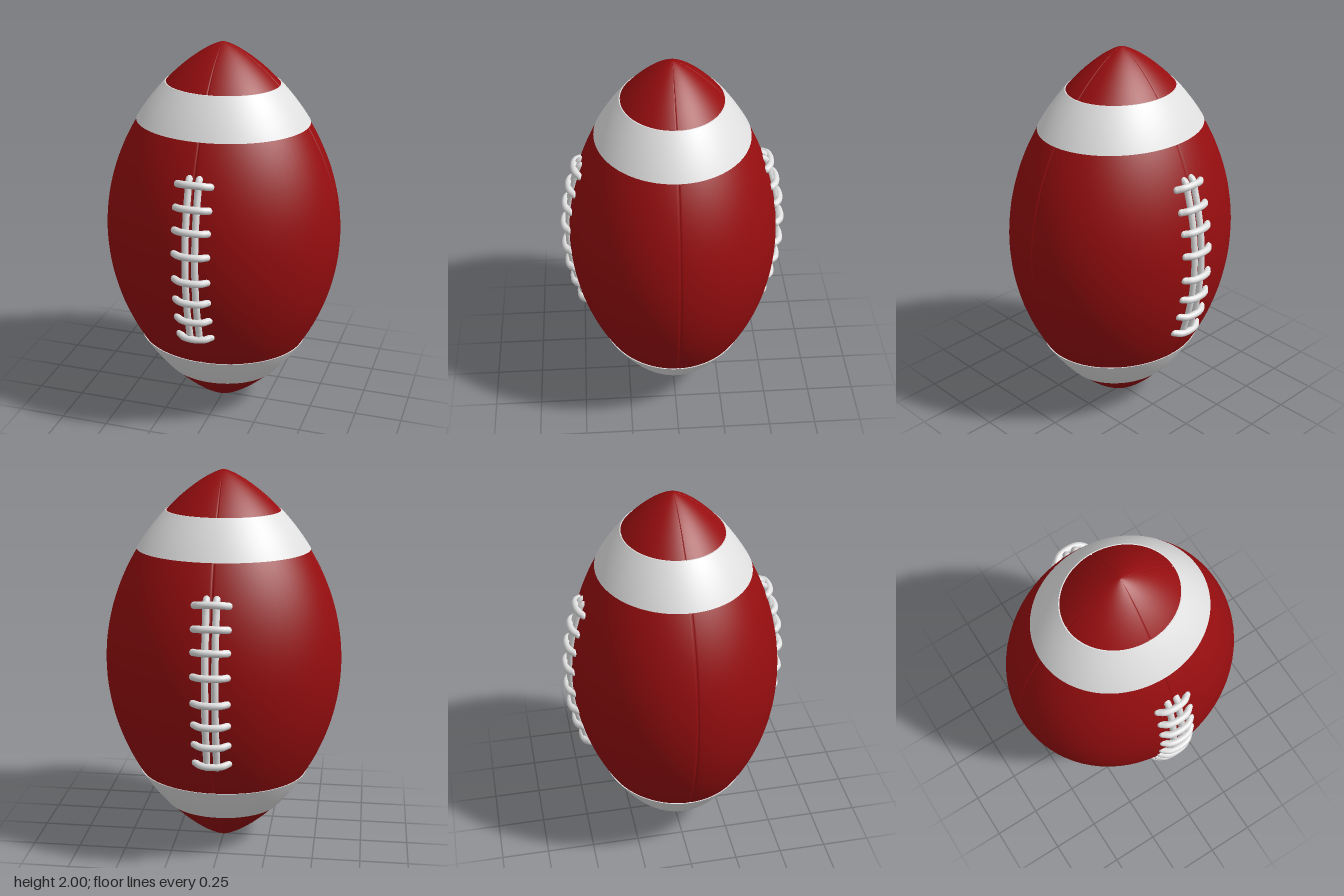
import * as THREE from 'three';
import { mergeVertices, toCreasedNormals } from 'three/addons/utils/BufferGeometryUtils.js';

const RX = 0.617, RZ = 0.54;

// Fraction of the full radius at height y
const swell = (y) => Math.pow(Math.max(0, 1 - (y - 1) ** 2), 0.75);
const slope = (y) => (RZ * (swell(y + 0.01) - swell(y - 0.01))) / 0.02;

function createBody(material) {
  const rows = 80, sides = 128, quarter = sides / 4;
  const profile = [];
  for (let i = 0; i <= rows; i++) {
    const y = 1 - Math.cos((Math.PI * i) / rows);
    profile.push(new THREE.Vector2(i === 0 || i === rows ? 0 : swell(y), y));
  }
  const geo = new THREE.LatheGeometry(profile, sides);
  const pos = geo.attributes.position;
  // Crowd the columns towards four seams and press a narrow groove into each
  for (let i = 0; i < pos.count; i++) {
    const column = Math.floor(i / (rows + 1)) % sides;
    const t = (column % quarter) / quarter;
    const warped = t - (0.85 * Math.sin(2 * Math.PI * t)) / (2 * Math.PI);
    const angle = (Math.floor(column / quarter) + warped) * (Math.PI / 2);
    const p = profile[i % (rows + 1)];
    const edge = Math.min(column % quarter, quarter - (column % quarter));
    const groove = edge === 0 ? 0.009 : edge === 1 ? 0.003 : 0;
    const r = Math.max(0, p.x - groove * Math.min(1, p.x * 5));
    pos.setXYZ(i, Math.sin(angle) * r * RX, p.y, Math.cos(angle) * r * RZ);
  }
  geo.deleteAttribute('normal');
  geo.deleteAttribute('uv');
  const smooth = mergeVertices(geo, 1e-5);
  smooth.computeVertexNormals();
  const mesh = new THREE.Mesh(smooth, material);
  mesh.name = 'body';
  return mesh;
}

// Slightly raised painted ring with closed rims
function createBand(y0, y1, name, material) {
  const steps = 8, profile = [new THREE.Vector2(swell(y0) - 0.012, y0)];
  for (let i = 0; i <= steps; i++) {
    const y = y0 + ((y1 - y0) * i) / steps;
    profile.push(new THREE.Vector2(swell(y) + 0.009, y));
  }
  profile.push(new THREE.Vector2(swell(y1) - 0.012, y1));
  const geo = new THREE.LatheGeometry(profile, 96);
  geo.scale(RX, 1, RZ);
  geo.deleteAttribute('normal');
  geo.deleteAttribute('uv');
  const mesh = new THREE.Mesh(toCreasedNormals(mergeVertices(geo, 1e-5), 0.6), material);
  mesh.name = name;
  return mesh;
}

function createLacing(name, material) {
  const group = new THREE.Group();
  group.name = name;

  // Two long cords following the curve, their ends tucked into the body
  for (const x of [-0.025, 0.025]) {
    const points = [new THREE.Vector3(x, 0.575, RZ * swell(0.575) - 0.04)];
    for (let i = 0; i <= 12; i++) {
      const y = 0.575 + (0.86 * i) / 12;
      points.push(new THREE.Vector3(x, y, RZ * swell(y) + 0.003));
    }
    points.push(new THREE.Vector3(x, 1.435, RZ * swell(1.435) - 0.04));
    const path = new THREE.CatmullRomCurve3(points);
    const cord = new THREE.Mesh(new THREE.TubeGeometry(path, 80, 0.018, 10), material);
    cord.name = 'longLace';
    group.add(cord);
  }

  // Eight bowed cross laces with rounded ends
  const arc = new THREE.CatmullRomCurve3(
    [[-0.084, -0.004], [-0.055, 0.019], [0, 0.028], [0.055, 0.019], [0.084, -0.004]]
      .map(([x, z]) => new THREE.Vector3(x, 0, z)));
  const tube = new THREE.TubeGeometry(arc, 24, 0.018, 12);
  const knob = new THREE.SphereGeometry(0.018, 12, 8);
  for (const y of [0.6, 0.71, 0.82, 0.935, 1.07, 1.19, 1.3, 1.41]) {
    const lace = new THREE.Group();
    lace.name = 'crossLace';
    lace.add(new THREE.Mesh(tube, material));
    for (const side of [-1, 1]) {
      const end = new THREE.Mesh(knob, material);
      end.name = 'laceEnd';
      end.position.set(side * 0.084, 0, -0.004);
      lace.add(end);
    }
    lace.position.set(0, y, RZ * swell(y));
    lace.rotation.x = Math.atan(slope(y));
    group.add(lace);
  }
  return group;
}

export function createModel() {
  const leather = new THREE.MeshStandardMaterial({ color: 0x960d0f });
  leather.name = 'red leather';
  const white = new THREE.MeshStandardMaterial({ color: 0xe0e0e0 });
  white.name = 'white trim';

  const model = new THREE.Group();
  model.name = 'ball';
  model.add(createBody(leather));
  model.add(createBand(0.21, 0.4, 'lowerBand', white));
  model.add(createBand(1.6, 1.795, 'upperBand', white));

  // Lacing on both the front and the back
  const front = createLacing('frontLacing', white);
  const back = createLacing('backLacing', white);
  back.rotation.y = Math.PI;
  model.add(front, back);
  return model;
}
